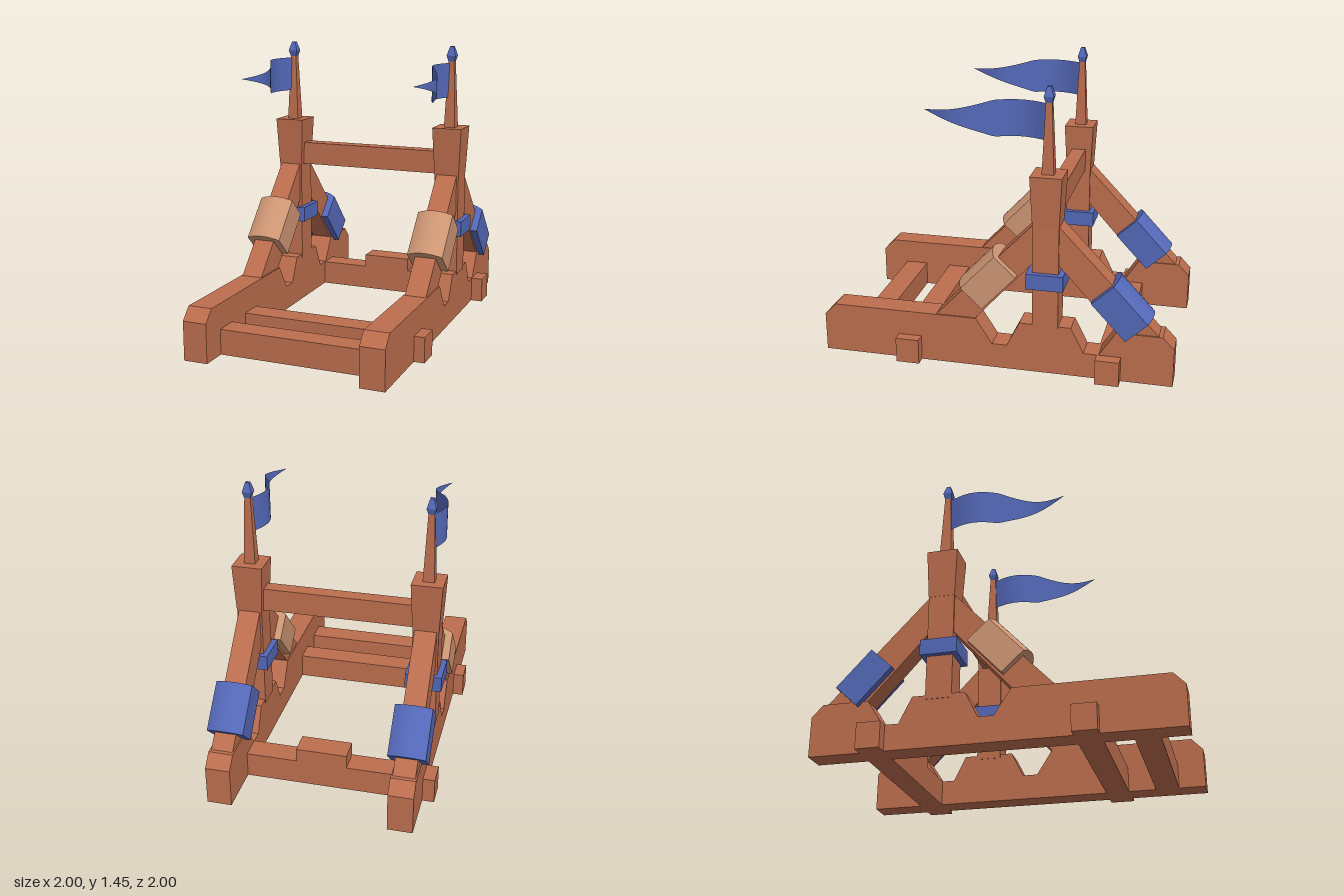
import * as THREE from 'three';
import { toCreasedNormals } from 'three/addons/utils/BufferGeometryUtils.js';

const material = (name, color, side = THREE.FrontSide) => {
  const m = new THREE.MeshStandardMaterial({ color, side });
  m.name = name;
  return m;
};

export function createModel() {
  const wood = material('brown wood', 0xbc6e4e);
  const tan = material('tan wrap', 0xce9674);
  const blue = material('blue paint', 0x5468b8, THREE.DoubleSide);

  const TOWER = 0.26;  // tower position along the rails
  const RAIL = 0.453;  // rail distance from the middle
  const model = new THREE.Group();
  model.name = 'siegeFrame';
  const frame = new THREE.Group();
  frame.name = 'frame';
  frame.rotation.y = Math.PI / 4;
  model.add(frame);

  const add = (parent, name, geometry, mat, x = 0, y = 0, z = 0) => {
    const mesh = new THREE.Mesh(geometry, mat);
    mesh.name = name;
    mesh.position.set(x, y, z);
    parent.add(mesh);
    return mesh;
  };
  const box = (parent, name, mat, size, pos) =>
    add(parent, name, new THREE.BoxGeometry(...size), mat, ...pos);

  // Flat outline extruded to a thickness, centred on z
  const slab = (points, depth) => {
    const shape = new THREE.Shape(points.map(p => new THREE.Vector2(...p)));
    return new THREE.ExtrudeGeometry(shape, { depth, bevelEnabled: false }).translate(0, 0, -depth / 2);
  };

  // Four-sided tapered block, faces square to the frame
  const taper = (bottom, top, height) => {
    const g = new THREE.CylinderGeometry(top / Math.SQRT2, bottom / Math.SQRT2, height, 4).toNonIndexed();
    g.rotateY(Math.PI / 4);
    g.computeVertexNormals();
    return g;
  };

  // Notched side rail
  const railGeometry = slab([
    [-0.897, 0], [0.897, 0], [0.897, 0.2], [0.84, 0.26], [0.613, 0.26], [0.53, 0.13],
    [0.454, 0.13], [0.39, 0.26], [0.13, 0.26], [0.066, 0.13], [-0.01, 0.13],
    [-0.093, 0.26], [-0.84, 0.26], [-0.897, 0.2],
  ], 0.125);

  // Saddle wrap: straight sides and a bulging top
  const wrapShape = new THREE.Shape();
  wrapShape.moveTo(-0.093, -0.062);
  wrapShape.lineTo(0.093, -0.062);
  wrapShape.lineTo(0.093, 0.085);
  wrapShape.quadraticCurveTo(0, 0.145, -0.093, 0.085);
  wrapShape.closePath();
  const wrapGeometry = toCreasedNormals(
    new THREE.ExtrudeGeometry(wrapShape, { depth: 0.25, bevelEnabled: false, curveSegments: 10 })
      .translate(0, 0, -0.125), 0.5);

  // Waving pennant, trailing towards -x
  const flagGeometry = new THREE.PlaneGeometry(1, 1, 28, 1);
  const pos = flagGeometry.attributes.position;
  for (let i = 0; i < pos.count; i++) {
    const s = (0.5 - pos.getX(i)) * 0.61;
    const t = Math.max(0, (s - 0.27) / 0.34);
    const k = t * (1.35 - 0.35 * t);
    const y = pos.getY(i) > 0
      ? THREE.MathUtils.lerp(1.367, 1.306, k)
      : THREE.MathUtils.lerp(1.187, 1.304, k);
    pos.setXYZ(i, -s, y, -0.052 * Math.sin((2 * Math.PI * s) / 0.6));
  }
  flagGeometry.computeVertexNormals();

  // Sloping brace of the A-frame and its wrap; side is +1 or -1
  const angle = THREE.MathUtils.degToRad(47);
  const addBrace = (parent, side, mat, wrapOffset, wrapHeight) => {
    const outline = [[0.41, 0.2], [0.617, 0.2], [0.066, 0.78], [0, 0.78], [0, 0.655]];
    add(parent, 'brace', slab(outline.map(([x, y]) => [x * side, y]), 0.11), wood);
    const wrap = add(parent, 'braceWrap', wrapGeometry, mat);
    const across = new THREE.Vector3(0, 0, 1);
    const normal = new THREE.Vector3(side * Math.sin(angle), Math.cos(angle), 0);
    wrap.quaternion.setFromRotationMatrix(
      new THREE.Matrix4().makeBasis(across, normal, across.clone().cross(normal)));
    wrap.position.set(side * wrapOffset, wrapHeight, 0);
  };

  for (const z of [-RAIL, RAIL]) {
    add(frame, 'sideRail', railGeometry, wood, 0, 0, z);

    const tower = new THREE.Group();
    tower.name = 'tower';
    tower.position.set(TOWER, 0, z);
    frame.add(tower);

    box(tower, 'post', wood, [0.13, 0.54, 0.13], [0, 0.51, 0]);
    box(tower, 'collar', blue, [0.185, 0.08, 0.185], [0, 0.5, 0]);
    addBrace(tower, 1, blue, 0.361, 0.366);
    addBrace(tower, -1, tan, 0.273, 0.464);
    add(tower, 'towerHead', taper(0.132, 0.157, 0.25), wood, 0, 0.905, 0);
    add(tower, 'mast', taper(0.06, 0.03, 0.36), wood, 0, 1.2, 0);
    add(tower, 'finialBase', taper(0.028, 0.048, 0.035), blue, 0, 1.3875, 0);
    add(tower, 'finialTip', taper(0.048, 0.02, 0.047), blue, 0, 1.4285, 0);
    add(tower, 'flag', flagGeometry, blue);
  }

  // Beams joining the two sides
  box(frame, 'upperBeam', wood, [0.075, 0.12, 0.88], [TOWER, 0.84, 0]);
  box(frame, 'frontCrossbar', wood, [0.12, 0.13, 0.82], [-0.7, 0.065, 0]);
  box(frame, 'middleCrossbar', wood, [0.12, 0.13, 1.14], [-0.44, 0.065, 0]);
  box(frame, 'rearCrossbar', wood, [0.12, 0.13, 1.15], [0.58, 0.065, 0]);
  box(frame, 'rearBlock', wood, [0.12, 0.07, 0.26], [0.58, 0.165, 0]);

  return model;
}
